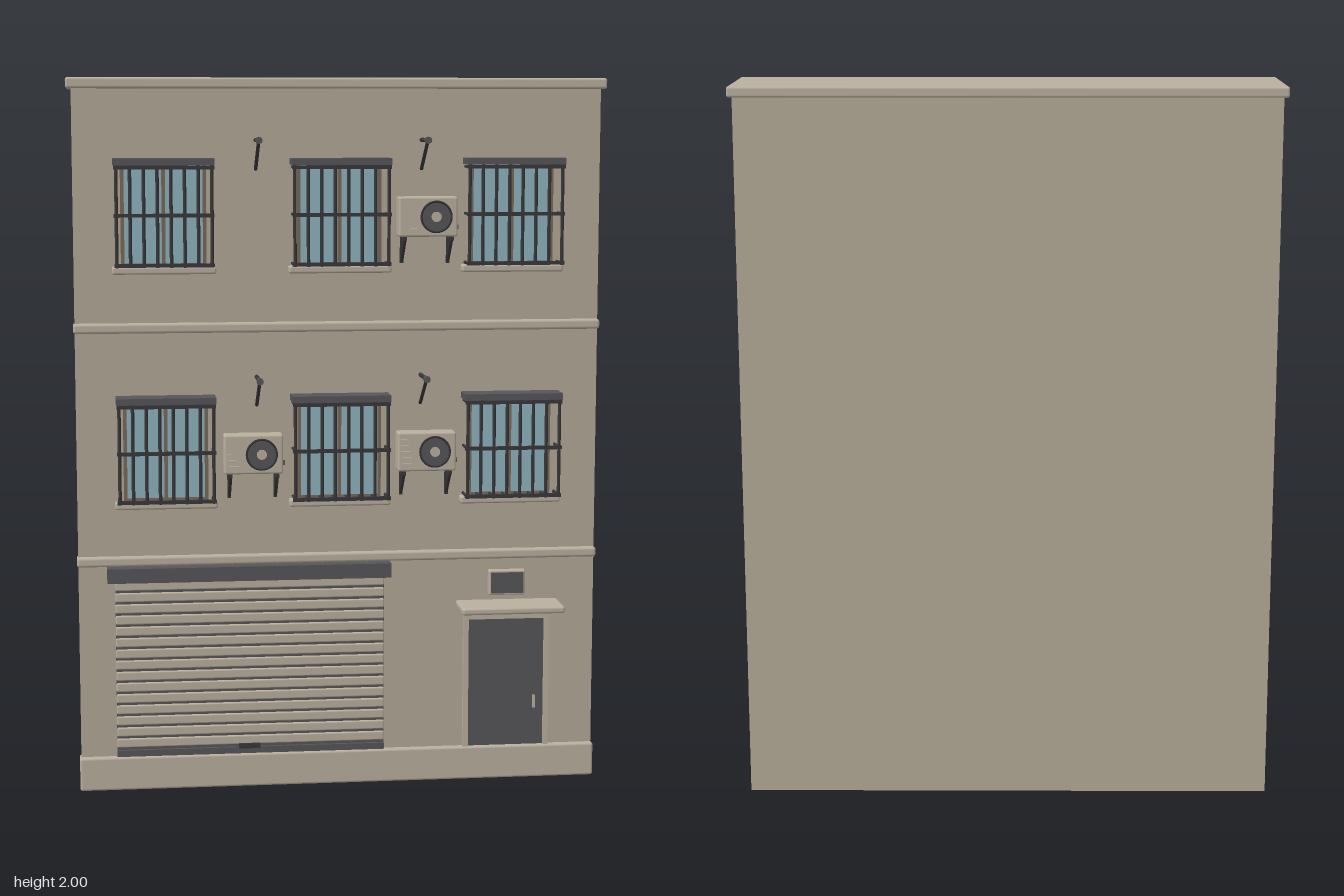
import * as THREE from 'three';
import { RoundedBoxGeometry } from 'three/addons/geometries/RoundedBoxGeometry.js';

const mat = (name, color) => {
  const m = new THREE.MeshStandardMaterial({ color });
  m.name = name;
  return m;
};

export function createModel() {
  const wall = mat('wall beige', 0xb3aa98);
  const trim = mat('trim beige', 0xb9af9e);
  const dark = mat('dark grey', 0x55555a);
  const iron = mat('iron', 0x38383b);
  const glass = mat('window glass', 0x8fb3bd);
  const brown = mat('window frame brown', 0x7a6856);

  const FACE = 0.093; // z of the front wall
  const root = new THREE.Group();
  root.name = 'building';

  const group = (name, x = 0, y = 0, parent = root) => {
    const g = new THREE.Group();
    g.name = name;
    g.position.set(x, y, 0);
    parent.add(g);
    return g;
  };
  const add = (parent, name, geo, m) => {
    const mesh = new THREE.Mesh(geo, m);
    mesh.name = name;
    parent.add(mesh);
    return mesh;
  };
  // Box given by its limits; r > 0 rounds the edges
  const box = (parent, name, m, x0, x1, y0, y1, z0, z1, r = 0) => {
    const s = [x1 - x0, y1 - y0, z1 - z0];
    const geo = r ? new RoundedBoxGeometry(...s, 3, r) : new THREE.BoxGeometry(...s);
    const mesh = add(parent, name, geo, m);
    mesh.position.set((x0 + x1) / 2, (y0 + y1) / 2, (z0 + z1) / 2);
    return mesh;
  };
  // Round rod between two points
  const rod = (parent, name, m, a, b, r) => {
    const p = new THREE.Vector3(...a), q = new THREE.Vector3(...b);
    const d = q.clone().sub(p);
    const mesh = add(parent, name, new THREE.CylinderGeometry(r, r, d.length(), 8), m);
    mesh.position.copy(p).add(q).multiplyScalar(0.5);
    mesh.quaternion.setFromUnitVectors(new THREE.Vector3(0, 1, 0), d.normalize());
    return mesh;
  };
  // Disc facing the front
  const disc = (parent, name, m, x, y, z, r, depth) => {
    const mesh = add(parent, name, new THREE.CylinderGeometry(r, r, depth, 28), m);
    mesh.rotation.x = Math.PI / 2;
    mesh.position.set(x, y, z);
  };

  // Body, roof cap, plinth and floor ledges
  box(root, 'body', wall, -0.735, 0.735, 0, 1.975, -0.22, FACE);
  box(root, 'roofCap', trim, -0.75, 0.75, 1.97, 2, -0.223, 0.11, 0.007);
  box(root, 'plinth', trim, -0.739, 0.739, 0, 0.096, 0.055, 0.11, 0.007);
  for (const y of [0.645, 1.3]) box(root, 'floorLedge', trim, -0.739, 0.739, y, y + 0.028, 0.055, 0.11, 0.008);

  // Barred window; origin at the sill top centre
  const addWindow = (x, y) => {
    const g = group('barredWindow', x, y);
    box(g, 'windowFrame', brown, -0.118, 0.118, 0, 0.285, FACE - 0.005, FACE + 0.003);
    box(g, 'pane', glass, -0.108, 0.108, 0.008, 0.277, FACE, FACE + 0.005);
    box(g, 'mullion', brown, -0.005, 0.005, 0.008, 0.277, FACE, FACE + 0.008);
    box(g, 'sill', trim, -0.143, 0.143, -0.021, 0, 0.085, 0.126, 0.006);
    box(g, 'cageTop', dark, -0.138, 0.138, 0.278, 0.296, FACE, 0.17);
    for (let i = 0; i < 8; i++) {
      const bx = -0.13 + (i * 0.26) / 7;
      rod(g, 'verticalBar', iron, [bx, 0, 0.163], [bx, 0.285, 0.163], 0.0048);
      rod(g, 'floorBar', iron, [bx, 0.004, FACE], [bx, 0.004, 0.163], 0.0035);
    }
    for (const h of [0.006, 0.142, 0.272]) {
      box(g, 'crossBar', iron, -0.137, 0.137, h - 0.005, h + 0.005, 0.159, 0.168);
      for (const s of [-1, 1]) rod(g, 'sideBar', iron, [s * 0.131, h, FACE - 0.004], [s * 0.131, h, 0.163], 0.004);
    }
  };

  // Wall pole with a diagonal stay
  const addPole = (x, y) => {
    const g = group('awningBracket', x, y);
    rod(g, 'arm', iron, [0, 0, FACE - 0.003], [0, 0, 0.22], 0.006);
    rod(g, 'armTip', dark, [0, 0, 0.208], [0, 0, 0.222], 0.01);
    rod(g, 'stay', iron, [0, -0.003, 0.205], [0, -0.08, FACE], 0.005);
  };

  // Air conditioner on two brackets; origin at the lower middle
  const addCooler = (x, y) => {
    const g = group('airConditioner', x, y);
    box(g, 'casing', trim, -0.082, 0.082, 0, 0.11, 0.105, 0.163, 0.006);
    disc(g, 'fanOpening', dark, 0.022, 0.055, 0.163, 0.043, 0.004);
    disc(g, 'fanHub', trim, 0.022, 0.055, 0.166, 0.014, 0.004);
    const ring = add(g, 'fanRing', new THREE.TorusGeometry(0.042, 0.003, 6, 28), iron);
    ring.position.set(0.022, 0.055, 0.165);
    for (let i = 0; i < 5; i++) box(g, 'vent', trim, -0.074, -0.032, 0.019 + i * 0.017, 0.024 + i * 0.017, 0.16, 0.166);
    box(g, 'pipeStub', dark, 0.08, 0.09, 0.02, 0.032, 0.115, 0.128);
    for (const s of [-0.065, 0.065]) {
      box(g, 'bracketArm', iron, s - 0.005, s + 0.005, -0.01, 0, FACE, 0.168);
      rod(g, 'bracketStay', iron, [s, -0.006, 0.16], [s, -0.068, FACE + 0.004], 0.005);
      box(g, 'bracketPlate', iron, s - 0.005, s + 0.005, -0.076, 0, FACE - 0.002, FACE + 0.006);
    }
  };

  // Two upper floors
  for (const y of [0.83, 1.485]) {
    for (const x of [-0.487, 0, 0.485]) addWindow(x, y);
    for (const x of [-0.232, 0.23]) addPole(x, y + 0.345);
    addCooler(0.24, y + 0.08);
  }
  addCooler(-0.246, 0.91);

  // Roller shutter
  const shutter = group('rollerShutter');
  box(shutter, 'shutterHousing', dark, -0.655, 0.145, 0.602, 0.643, FACE - 0.005, 0.131);
  box(shutter, 'shutterBacking', dark, -0.633, 0.128, 0.095, 0.605, FACE - 0.005, FACE + 0.002);
  const slats = 15, pitch = 0.485 / slats;
  for (let i = 0; i < slats; i++) {
    const y = 0.118 + i * pitch;
    box(shutter, 'slat', trim, -0.633, 0.128, y + 0.004, y + pitch - 0.003, FACE - 0.004, 0.102, 0.004);
  }
  box(shutter, 'bottomRail', dark, -0.633, 0.128, 0.094, 0.114, FACE - 0.004, 0.104);
  box(shutter, 'shutterHandle', iron, -0.288, -0.228, 0.111, 0.125, 0.1, 0.109);

  // Entrance door with frame, canopy and wall box
  const door = group('entrance');
  box(door, 'doorLeaf', dark, 0.37, 0.592, 0.09, 0.47, FACE - 0.004, 0.098);
  for (const x of [0.357, 0.591]) box(door, 'doorJamb', trim, x, x + 0.015, 0.09, 0.485, FACE - 0.004, 0.106);
  box(door, 'doorHead', trim, 0.357, 0.606, 0.469, 0.488, FACE - 0.004, 0.106);
  box(door, 'doorHandle', trim, 0.56, 0.567, 0.205, 0.242, 0.097, 0.108);
  box(door, 'canopy', trim, 0.336, 0.63, 0.504, 0.524, FACE - 0.008, 0.21, 0.007);
  box(door, 'wallBox', trim, 0.428, 0.533, 0.54, 0.612, FACE - 0.004, 0.113, 0.004);
  box(door, 'wallBoxFront', dark, 0.434, 0.527, 0.546, 0.606, 0.11, 0.117);

  return root;
}
